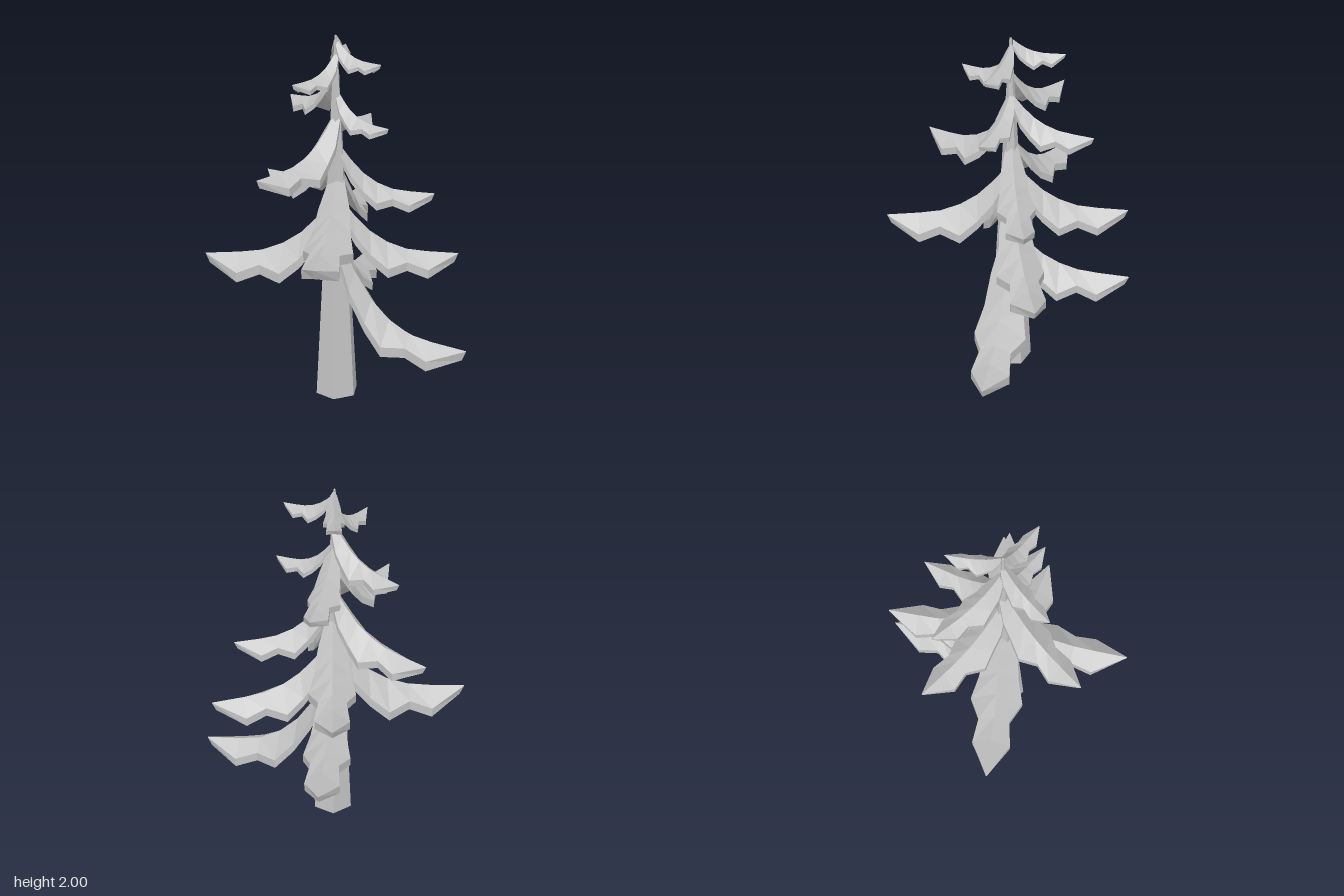
import * as THREE from 'three';

// Bough stations from trunk to tip, for a bough one unit long:
// distance out, half width, ridge height, drop from ridge to edge
const STATIONS = [
  [0.02, 0.06, 0.47, 0.07],
  [0.14, 0.125, 0.32, 0.14],
  [0.27, 0.15, 0.19, 0.16],
  [0.41, 0.195, 0.1, 0.175],
  [0.57, 0.115, 0.04, 0.08],
  [0.74, 0.142, 0.018, 0.118],
  [1.0, 0.003, 0, 0.002],
];
const THICK = 0.075;

// Bough tips (x, y, z) and how steeply the ridge climbs to the trunk
const BOUGHS = [
  [0.205, 0.365, 0.66, 1.55],
  [0.6, 0.625, -0.285, 0.9],
  [-0.405, 0.8, -0.66, 1],
  [0.405, 0.82, 0.465, 1.05],
  [-0.6, 0.98, 0.28, 1],
  [0.545, 1.02, -0.335, 1],
  [0.29, 1.17, 0.375, 1.1],
  [0.055, 1.19, -0.605, 1],
  [-0.56, 1.345, -0.11, 1],
  [0.41, 1.515, -0.14, 0.9],
  [-0.01, 1.56, 0.285, 1],
  [0.085, 1.635, -0.45, 0.95],
  [-0.32, 1.785, -0.08, 0.9],
  [-0.005, 1.875, 0.23, 0.75],
  [0.222, 1.918, -0.172, 0.62],
];
const AXIS_X = -0.012, AXIS_Z = -0.045;

// Roof-shaped bough with a matching hollow underside, pointing along +z;
// steeper boughs have a flatter roof
function boughGeometry(rise) {
  const rings = STATIONS.map(([t, w, ridge, drop]) => {
    const top = ridge * rise, edge = top - drop / Math.sqrt(rise);
    const under = t === 1 ? 0.97 : t;
    return [
      [w, edge, t], [0, top, t], [-w, edge, t],
      [-w, edge - THICK, under], [0, top - THICK, under], [w, edge - THICK, under],
    ];
  });
  const pos = [];
  const quad = (a, b, c, d) => pos.push(...a, ...b, ...c, ...a, ...c, ...d);
  for (let i = 0; i < rings.length - 1; i++) {
    const p = rings[i], q = rings[i + 1];
    for (let j = 0; j < 6; j++) {
      const k = (j + 1) % 6;
      quad(p[j], p[k], q[k], q[j]);
    }
  }
  // closed ends
  const r = rings[0], e = rings[rings.length - 1];
  quad(r[5], r[4], r[1], r[0]);
  quad(r[4], r[3], r[2], r[1]);
  quad(e[0], e[1], e[4], e[5]);
  quad(e[1], e[2], e[3], e[4]);
  const geo = new THREE.BufferGeometry();
  geo.setAttribute('position', new THREE.Float32BufferAttribute(pos, 3));
  geo.computeVertexNormals();
  return geo;
}

export function createModel() {
  const tree = new THREE.Group();
  tree.name = 'pineTree';
  const grey = new THREE.MeshStandardMaterial({ color: 0xc4c4c4, flatShading: true });
  grey.name = 'paleGrey';

  // six-sided tapering trunk
  const trunk = new THREE.Mesh(new THREE.CylinderGeometry(0.006, 0.122, 2, 6), grey);
  trunk.name = 'trunk';
  trunk.position.set(-0.018, 1, -0.047);
  tree.add(trunk);

  // boughs around the trunk
  BOUGHS.forEach(([x, y, z, rise], i) => {
    const dx = x - AXIS_X, dz = z - AXIS_Z;
    const bough = new THREE.Mesh(boughGeometry(rise), grey);
    bough.name = `bough${i + 1}`;
    bough.position.set(AXIS_X, y, AXIS_Z);
    bough.rotation.y = Math.atan2(dx, dz);
    bough.scale.setScalar(Math.hypot(dx, dz));
    tree.add(bough);
  });
  return tree;
}
